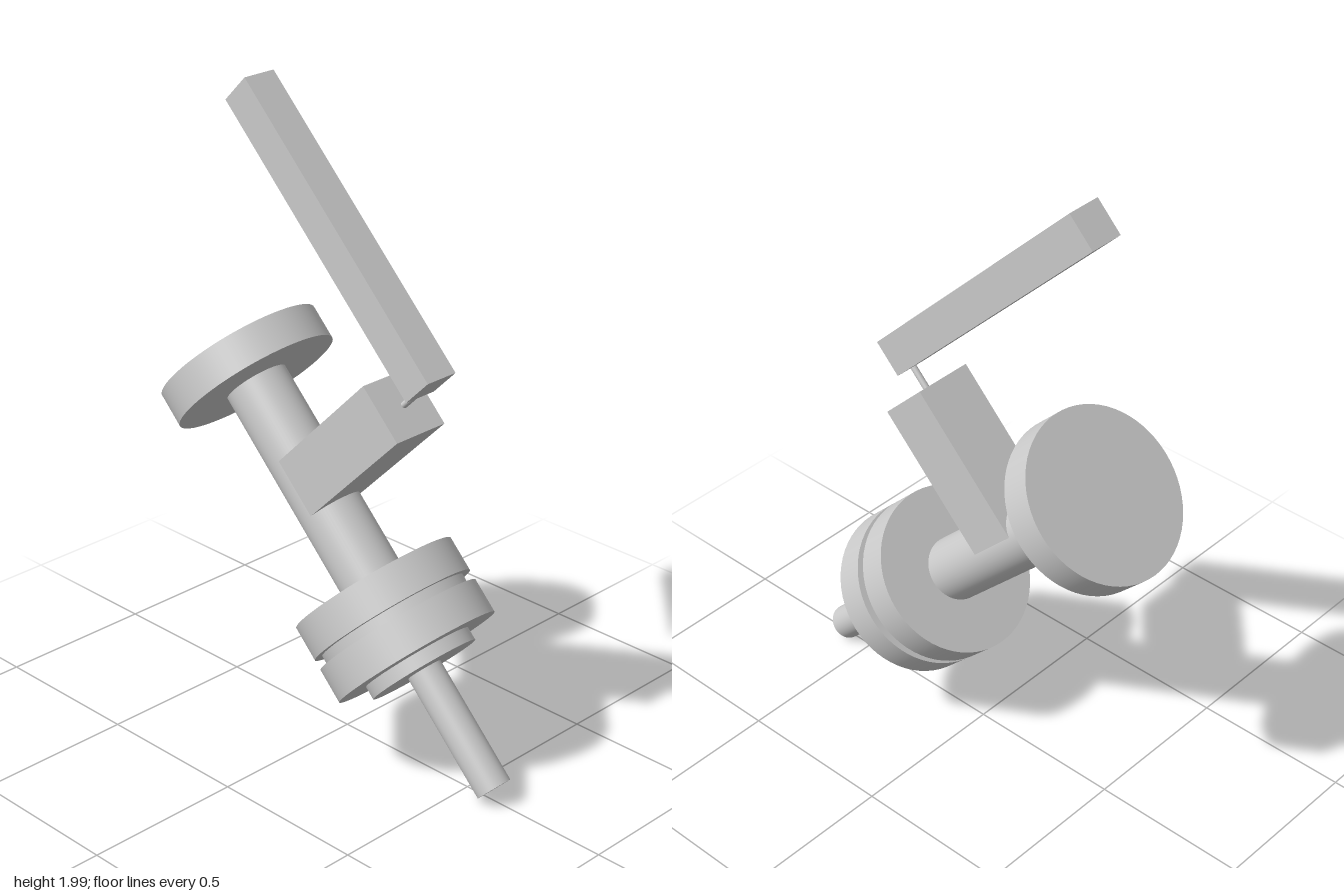
import * as THREE from 'three';

export function createModel() {
  const model = new THREE.Group();
  model.name = 'shaftAssembly';
  const material = new THREE.MeshStandardMaterial({ color: 0xcccccc });

  // Everything is laid out along a vertical axis (top face at y = 0), then tilted.
  const tilted = new THREE.Group();
  tilted.name = 'tiltedAssembly';
  tilted.position.set(-0.463, 1.115, 0);
  tilted.rotation.z = Math.PI / 4;
  model.add(tilted);

  function add(name, geometry, x, y) {
    const mesh = new THREE.Mesh(geometry, material);
    mesh.name = name;
    mesh.position.set(x, y, 0);
    tilted.add(mesh);
    return mesh;
  }

  // Coaxial discs and rods: name, radius, start and end distance down the axis
  const turned = [
    ['topFlange', 0.265, 0, 0.109],
    ['mainShaft', 0.1, 0.109, 0.811],
    ['upperDisc', 0.265, 0.811, 0.922],
    ['grooveCore', 0.24, 0.922, 0.955],
    ['lowerDisc', 0.265, 0.955, 1.065],
    ['boss', 0.174, 1.065, 1.107],
    ['endRod', 0.055, 1.107, 1.509],
  ];
  for (const [name, radius, start, end] of turned) {
    add(name, new THREE.CylinderGeometry(radius, radius, end - start, 64), 0, -(start + end) / 2);
  }

  // Side arm growing out of the shaft
  add('sideArm', new THREE.BoxGeometry(0.515, 0.19, 0.195), 0.2575, -0.46);

  // Thin pin joining the arm to the lever
  const pin = add('linkPin', new THREE.CylinderGeometry(0.01, 0.01, 0.1, 24), 0.555, -0.46);
  pin.rotation.z = Math.PI / 2;

  // Long lever bar parallel to the shaft
  add('leverBar', new THREE.BoxGeometry(0.116, 1.023, 0.113), 0.646, 0.0385);

  return model;
}
